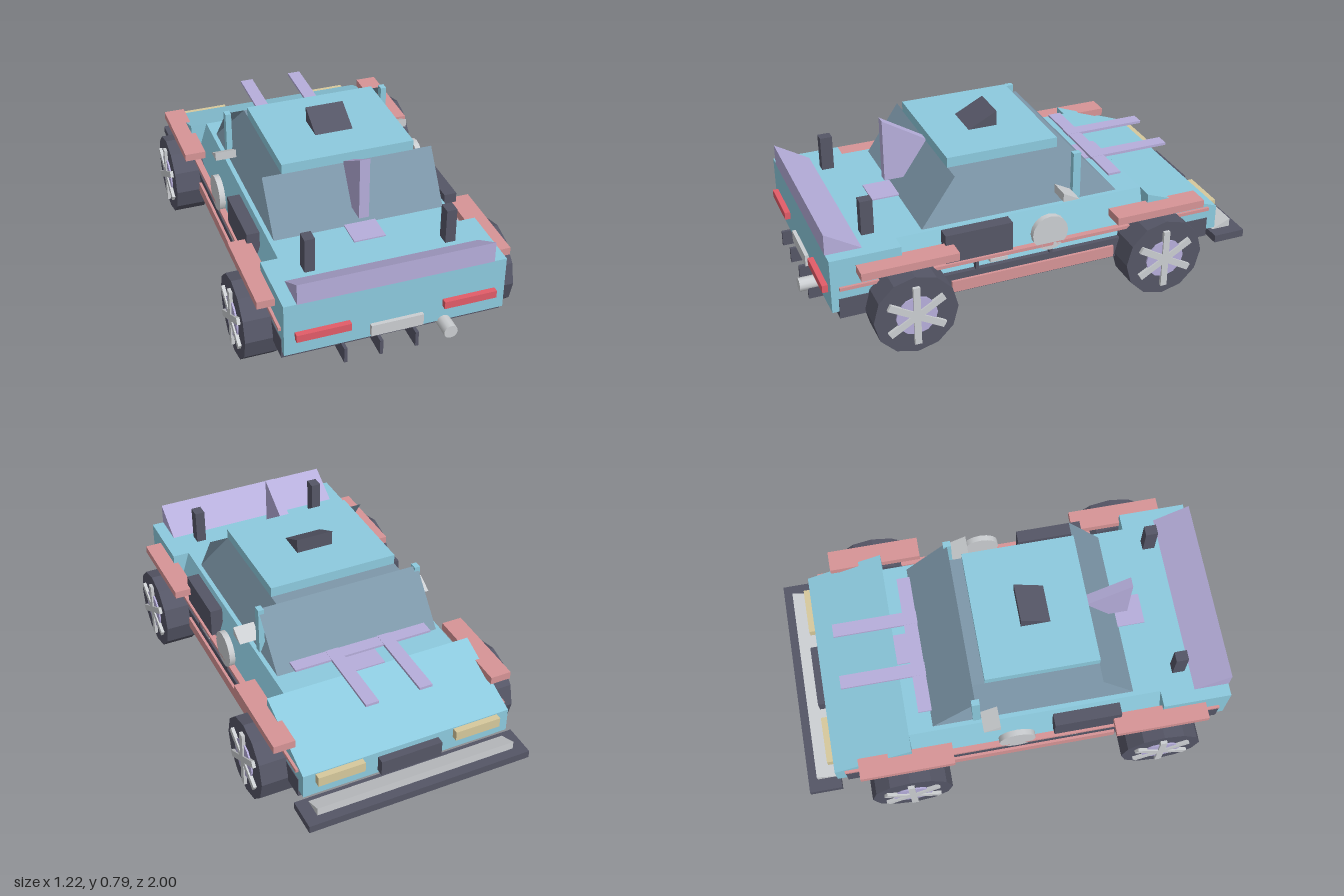
import * as THREE from 'three';

const mat = (name, color, side = THREE.FrontSide) => {
  const m = new THREE.MeshStandardMaterial({ color, side });
  m.name = name;
  return m;
};

export function createModel() {
  const car = new THREE.Group();
  car.name = 'car';
  const blue = mat('body blue', 0x8ccade);
  const glass = mat('window glass', 0x7d97a9, THREE.DoubleSide);
  const dark = mat('dark trim', 0x555666);
  const lavender = mat('lavender', 0xb6aedb);
  const pink = mat('pink trim', 0xd69496);
  const silver = mat('silver', 0xcbced1);
  const red = mat('tail red', 0xe25c68);
  const tan = mat('headlight tan', 0xd6c99c);

  const add = (name, geo, m, parent = car) => {
    const mesh = new THREE.Mesh(geo, m);
    mesh.name = name;
    parent.add(mesh);
    return mesh;
  };
  // Box given by its limits on each axis
  const box = (name, m, [x0, x1], [y0, y1], [z0, z1]) => add(name,
    new THREE.BoxGeometry(x1 - x0, y1 - y0, z1 - z0)
      .translate((x0 + x1) / 2, (y0 + y1) / 2, (z0 + z1) / 2), m);
  // Same box on both sides of the car
  const pair = (name, m, [x0, x1], y, z) => {
    box(name + 'Left', m, [x0, x1], y, z);
    box(name + 'Right', m, [-x1, -x0], y, z);
  };
  const shape = (pts) => new THREE.Shape(pts.map(([a, b]) => new THREE.Vector2(a, b)));
  // Side profile in (z, y), extruded across x
  const prism = (name, m, pts, width, x = 0) => add(name,
    new THREE.ExtrudeGeometry(shape(pts), { depth: width, bevelEnabled: false })
      .translate(0, 0, -width / 2).rotateY(-Math.PI / 2).translate(x, 0, 0), m);

  // Body: sill, square tail, tapered middle, sloping nose
  box('sill', dark, [-0.478, 0.478], [0.167, 0.26], [-0.82, 0.895]);
  box('tailBody', blue, [-0.475, 0.475], [0.2, 0.445], [0.62, 0.925]);
  add('middleBody', new THREE.ExtrudeGeometry(
    shape([[-0.475, 0.2], [0.475, 0.2], [0.4, 0.445], [-0.4, 0.445]]),
    { depth: 1.13, bevelEnabled: false }).translate(0, 0, -0.51), blue);
  prism('noseBody', blue, [[-0.865, 0.2], [-0.51, 0.2], [-0.51, 0.445], [-0.865, 0.312]], 0.95);

  // Cabin: rectangular screens with leaning side windows between them
  const quad = (name, a, b, c, d) => {
    const g = new THREE.BufferGeometry();
    g.setAttribute('position', new THREE.Float32BufferAttribute([a, b, c, a, c, d].flat(), 3));
    g.computeVertexNormals();
    add(name, g, glass);
  };
  const yb = 0.445, yt = 0.665;
  quad('rearWindow', [-0.38, yb, 0.5], [0.38, yb, 0.5], [0.38, yt, 0.35], [-0.38, yt, 0.35]);
  quad('windshield', [0.38, yb, -0.4], [-0.38, yb, -0.4], [-0.38, yt, -0.205], [0.38, yt, -0.205]);
  quad('leftWindow', [0.38, yb, 0.5], [0.38, yb, -0.4], [0.295, yt, -0.205], [0.295, yt, 0.35]);
  quad('rightWindow', [-0.38, yb, -0.4], [-0.38, yb, 0.5], [-0.295, yt, 0.35], [-0.295, yt, -0.205]);
  quad('cabinTop', [-0.295, yt, 0.35], [0.295, yt, 0.35], [0.295, yt, -0.205], [-0.295, yt, -0.205]);
  box('roof', blue, [-0.295, 0.295], [0.664, 0.71], [-0.15, 0.352]);
  pair('pillar', blue, [0.36, 0.386], [0.44, 0.667], [-0.222, -0.187]);
  prism('roofScoop', dark, [[0.175, 0.71], [0.045, 0.71], [0.045, 0.777]], 0.17);

  // Spoiler, fin, centre stripe and hood bars
  prism('spoiler', lavender, [[0.927, 0.445], [0.927, 0.54], [0.77, 0.445]], 0.84);
  prism('fin', lavender, [[0.545, 0.505], [0.545, 0.79], [0.08, 0.505]], 0.044);
  box('centreStripe', lavender, [-0.07, 0.07], [0.44, 0.451], [-0.51, 0.62]);
  pair('hoodBar', lavender, [0.093, 0.153], [0.485, 0.497], [-0.77, -0.39]);
  box('hoodCrossBar', lavender, [-0.32, 0.32], [0.486, 0.496], [-0.452, -0.392]);
  pair('rearPost', dark, [0.283, 0.328], [0.44, 0.602], [0.69, 0.745]);

  // Side details
  pair('sideVent', dark, [0.42, 0.476], [0.312, 0.45], [0.13, 0.43]);
  pair('sideStrip', pink, [0.46, 0.487], [0.302, 0.317], [-0.82, 0.89]);
  pair('sideSkirt', pink, [0.46, 0.49], [0.177, 0.23], [-0.345, 0.41]);
  pair('doorHandle', silver, [0.45, 0.482], [0.28, 0.296], [0.155, 0.235]);
  for (const z of [-0.048, 0.292]) {
    pair('doorSeam', dark, [0.44, 0.478], [0.25, 0.31], [z - 0.007, z + 0.007]);
  }
  for (const s of [1, -1]) {
    const side = s > 0 ? 'Left' : 'Right';
    add('sideDisc' + side, new THREE.CylinderGeometry(0.082, 0.082, 0.026, 16).toNonIndexed()
      .rotateZ(Math.PI / 2).translate(s * 0.474, 0.365, -0.04), silver);
    prism('mirror' + side, silver,
      [[-0.11, 0.487], [-0.11, 0.527], [-0.185, 0.487]], 0.095, s * 0.412);
  }

  // Wheels with hub and six spokes, each under a fender flare
  const tyreGeo = new THREE.CylinderGeometry(0.183, 0.183, 0.145, 12).toNonIndexed().rotateZ(Math.PI / 2);
  tyreGeo.computeVertexNormals();
  const hubGeo = new THREE.CylinderGeometry(0.09, 0.09, 0.02, 12).rotateZ(Math.PI / 2);
  const spokeGeo = new THREE.BoxGeometry(0.02, 0.275, 0.03);
  for (const [end, z] of [['Tail', 0.605], ['Nose', -0.54]]) {
    pair('flare' + end, pink, [0.455, 0.55], [0.37, 0.405], [z - 0.21, z + 0.21]);
    for (const s of [1, -1]) {
      const wheel = new THREE.Group();
      wheel.name = 'wheel' + end + (s > 0 ? 'Left' : 'Right');
      wheel.position.set(s * 0.523, 0.185, z);
      add('tyre', tyreGeo, dark, wheel);
      add('hub', hubGeo, lavender, wheel).position.x = s * 0.07;
      for (let i = 0; i < 3; i++) {
        const spoke = add('spoke', spokeGeo, silver, wheel);
        spoke.position.x = s * 0.077;
        spoke.rotation.x = i * Math.PI / 3;
      }
      car.add(wheel);
    }
  }

  // Nose: splitter, lip, headlights and grille
  box('splitter', dark, [-0.51, 0.51], [0.14, 0.175], [-1, -0.852]);
  prism('splitterLip', silver, [[-0.87, 0.175], [-0.957, 0.175], [-0.957, 0.213]], 0.91);
  pair('headlight', tan, [0.21, 0.42], [0.262, 0.307], [-0.893, -0.86]);
  box('grille', dark, [-0.14, 0.14], [0.215, 0.287], [-0.9, -0.86]);

  // Tail: lights, blank plate, exhaust and diffuser fins
  pair('tailLight', red, [0.2, 0.43], [0.275, 0.309], [0.92, 0.95]);
  box('rearPlate', silver, [-0.113, 0.113], [0.213, 0.266], [0.92, 0.942]);
  add('exhaust', new THREE.CylinderGeometry(0.03, 0.03, 0.15, 12)
    .rotateX(Math.PI / 2).translate(0.21, 0.193, 0.925), silver);
  for (const x of [0.077, 0.23]) {
    pair('diffuserFin', dark, [x - 0.007, x + 0.007], [0.13, 0.2], [0.815, 0.965]);
  }
  return car;
}
